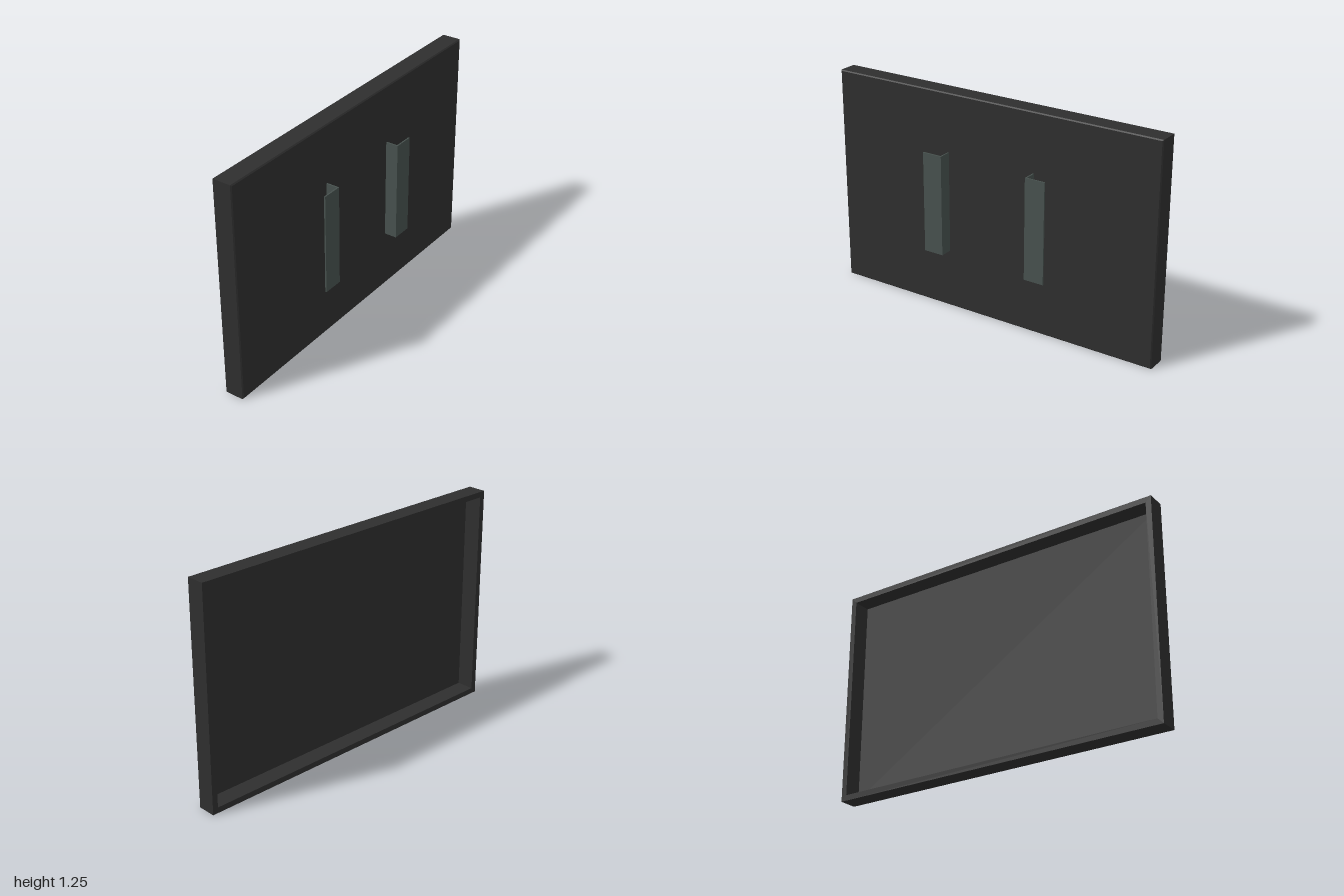
import * as THREE from 'three';

const WIDTH = 2, HEIGHT = 1.255;

// Rectangle inset from the outer outline, counter-clockwise seen from the front
function loop(inset, z) {
  const x = WIDTH / 2 - inset, y0 = inset, y1 = HEIGHT - inset;
  return [[-x, y0, z], [x, y0, z], [x, y1, z], [-x, y1, z]];
}

// Skin consecutive rectangles and close both ends, with hard edges
function skin(loops) {
  const pos = [];
  const quad = (a, b, c, d) => pos.push(...a, ...b, ...c, ...a, ...c, ...d);
  for (let k = 0; k < loops.length - 1; k++) {
    const a = loops[k], b = loops[k + 1];
    for (let i = 0; i < 4; i++) {
      const j = (i + 1) % 4;
      quad(a[i], a[j], b[j], b[i]);
    }
  }
  const first = loops[0], last = loops[loops.length - 1];
  quad(first[3], first[2], first[1], first[0]);
  quad(...last);
  const g = new THREE.BufferGeometry();
  g.setAttribute('position', new THREE.Float32BufferAttribute(pos, 3));
  g.computeVertexNormals();
  return g;
}

export function createModel() {
  const model = new THREE.Group();
  model.name = 'panelWithBrackets';

  const charcoal = new THREE.MeshStandardMaterial({ color: 0x2e2e2e });
  charcoal.name = 'charcoal';
  const slate = new THREE.MeshStandardMaterial({ color: 0x47514e });
  slate.name = 'slateGreen';

  // Hollow-backed panel: recess floor, inner wall, rim, outer wall, chamfered front
  const panel = new THREE.Mesh(skin([
    loop(0.032, 0.01),
    loop(0.032, -0.092),
    loop(0, -0.092),
    loop(0, 0.013),
    loop(0.006, 0.019),
  ]), charcoal);
  panel.name = 'panel';
  model.add(panel);

  // Mirrored L-section brackets with flanges turned outward
  const t = 0.008, y0 = 0.34, length = 0.58;
  for (const side of [-1, 1]) {
    const bracket = new THREE.Group();
    bracket.name = side > 0 ? 'leftBracket' : 'rightBracket';

    const web = new THREE.Mesh(new THREE.BoxGeometry(t, length, 0.066), slate);
    web.name = 'bracketWeb';
    web.position.set(side * (0.266 + t / 2), y0 + length / 2, 0.051);

    const flange = new THREE.Mesh(new THREE.BoxGeometry(0.118, length, t), slate);
    flange.name = 'bracketFlange';
    flange.position.set(side * (0.266 + 0.059), y0 + length / 2, 0.092 - t / 2);

    bracket.add(web, flange);
    model.add(bracket);
  }
  return model;
}
